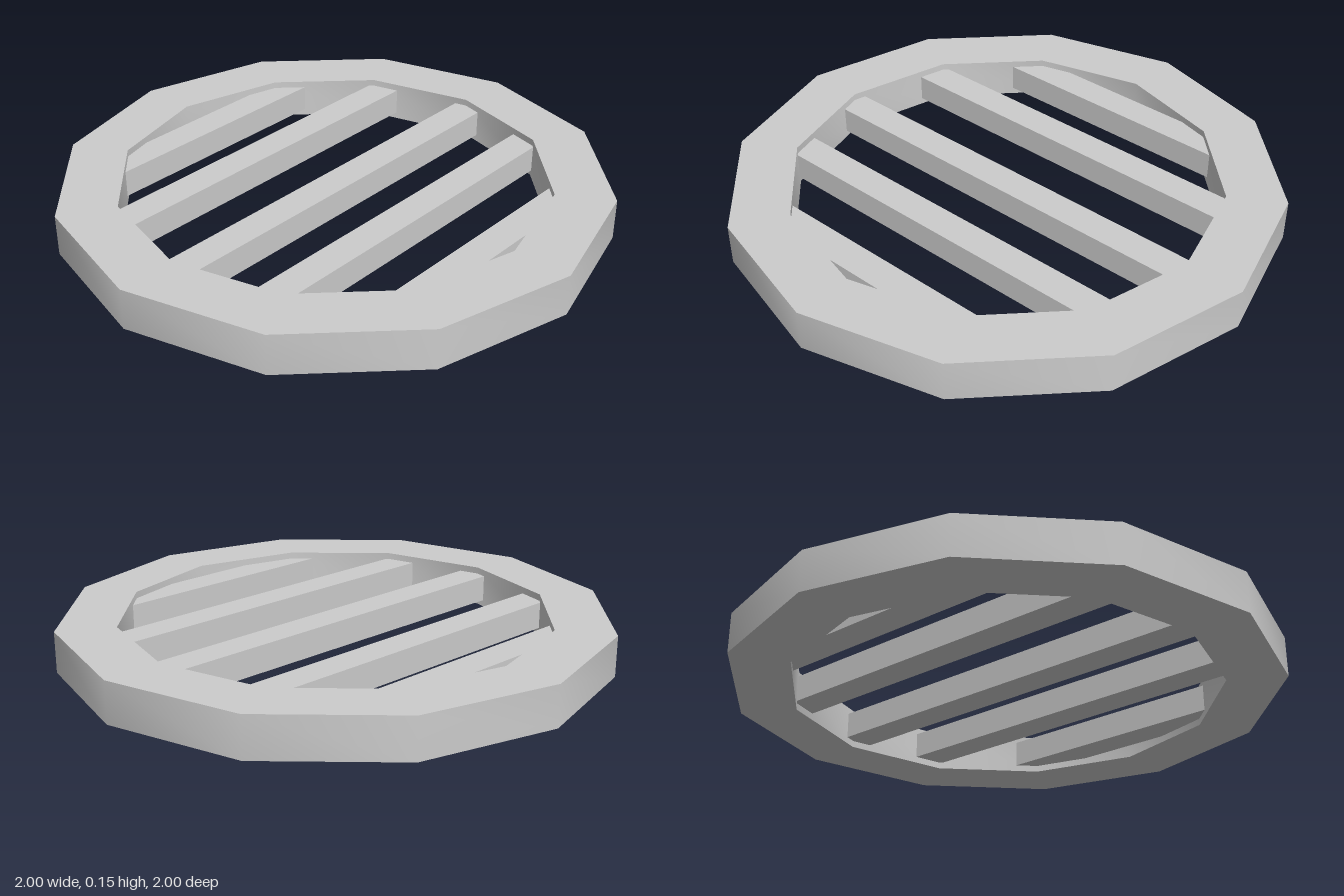
import * as THREE from 'three';
import { toCreasedNormals } from 'three/addons/utils/BufferGeometryUtils.js';

const SIDES = 12, OUTER = 1, INNER = 0.785, HEIGHT = 0.15;

// Corners of a regular polygon with its first corner on +x
function polygon(radius) {
  return Array.from({ length: SIDES }, (_, i) => {
    const a = (i / SIDES) * Math.PI * 2;
    return new THREE.Vector2(Math.cos(a) * radius, Math.sin(a) * radius);
  });
}

export function createModel() {
  const group = new THREE.Group();
  group.name = 'drainGrate';
  const material = new THREE.MeshStandardMaterial({ color: 0xcccccc });

  // Twelve-sided rim: smooth around the walls, sharp at top and bottom
  const shape = new THREE.Shape(polygon(OUTER));
  shape.holes.push(new THREE.Path(polygon(INNER)));
  const rimGeometry = new THREE.ExtrudeGeometry(shape, { depth: HEIGHT, bevelEnabled: false });
  rimGeometry.rotateX(-Math.PI / 2);
  const rim = new THREE.Mesh(toCreasedNormals(rimGeometry, 0.7), material);
  rim.name = 'rim';
  group.add(rim);

  // Parallel bars, slightly unevenly spaced, with their ends buried in the rim
  const bars = new THREE.Group();
  bars.name = 'bars';
  for (const [x, halfLength] of [[-0.653, 0.56], [-0.35, 0.8], [0.015, 0.86], [0.343, 0.8], [0.677, 0.54]]) {
    const bar = new THREE.Mesh(new THREE.BoxGeometry(0.117, 0.1, halfLength * 2), material);
    bar.name = 'bar';
    bar.position.set(x, HEIGHT / 2, 0);
    bars.add(bar);
  }
  group.add(bars);
  return group;
}
